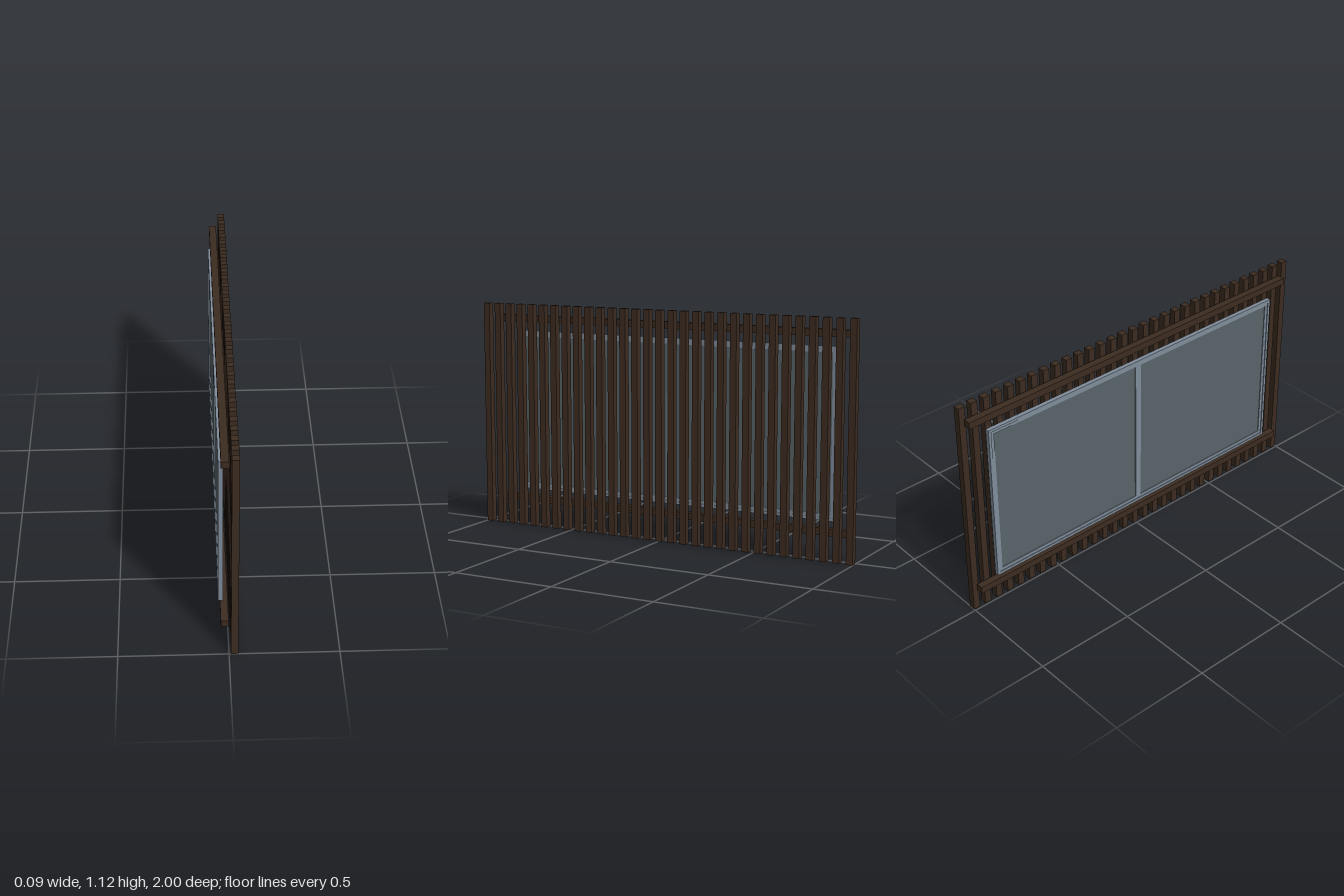
import * as THREE from 'three';

export function createModel() {
  const model = new THREE.Group();
  model.name = 'slattedWindowScreen';

  const mat = (name, color) => {
    const m = new THREE.MeshStandardMaterial({ color });
    m.name = name;
    return m;
  };
  const wood = mat('dark wood', 0x3d2c21);
  const metal = mat('blue grey frame', 0x808d9c);
  const glass = mat('grey glass', 0x596468);

  // Box given by its extents on each axis
  const box = (parent, name, material, [x0, x1], [y0, y1], [z0, z1]) => {
    const mesh = new THREE.Mesh(new THREE.BoxGeometry(x1 - x0, y1 - y0, z1 - z0), material);
    mesh.position.set((x0 + x1) / 2, (y0 + y1) / 2, (z0 + z1) / 2);
    mesh.name = name;
    parent.add(mesh);
  };

  // Rectangular ring of four bars, w wide, inside the given extents
  const ring = (parent, name, material, x, [y0, y1], [z0, z1], w) => {
    const g = new THREE.Group();
    g.name = name;
    box(g, 'bottomBar', material, x, [y0, y0 + w], [z0, z1]);
    box(g, 'topBar', material, x, [y1 - w, y1], [z0, z1]);
    box(g, 'rearBar', material, x, [y0 + w, y1 - w], [z0, z0 + w]);
    box(g, 'frontBar', material, x, [y0 + w, y1 - w], [z1 - w, z1]);
    parent.add(g);
  };

  // Row of upright slats
  const slats = new THREE.Group();
  slats.name = 'slats';
  const count = 31, width = 0.033;
  for (let i = 0; i < count; i++) {
    const z = -1 + (i * (2 - width)) / (count - 1);
    box(slats, 'slat', wood, [0.009, 0.042], [0, 1.118], [z, z + width]);
  }
  model.add(slats);

  // Horizontal rails behind the slats
  box(model, 'lowerRail', wood, [-0.035, 0], [0.113, 0.147], [-0.98, 0.94]);
  box(model, 'upperRail', wood, [-0.035, 0], [1.027, 1.061], [-0.98, 0.94]);

  // Window: outer frame, two sashes meeting in the middle, and their panes
  const win = new THREE.Group();
  win.name = 'window';
  const y = [0.177, 0.983], z = [-0.89, 0.84], edge = 0.014, bar = 0.016;
  const mid = (z[0] + z[1]) / 2;
  ring(win, 'outerFrame', metal, [-0.044, -0.023], y, z, edge);
  const sashY = [y[0] + edge, y[1] - edge];
  for (const sashZ of [[z[0] + edge, mid], [mid, z[1] - edge]]) {
    ring(win, 'sash', metal, [-0.04, -0.027], sashY, sashZ, bar);
    box(win, 'pane', glass, [-0.036, -0.031],
      [sashY[0] + bar, sashY[1] - bar], [sashZ[0] + bar, sashZ[1] - bar]);
  }
  model.add(win);

  return model;
}
